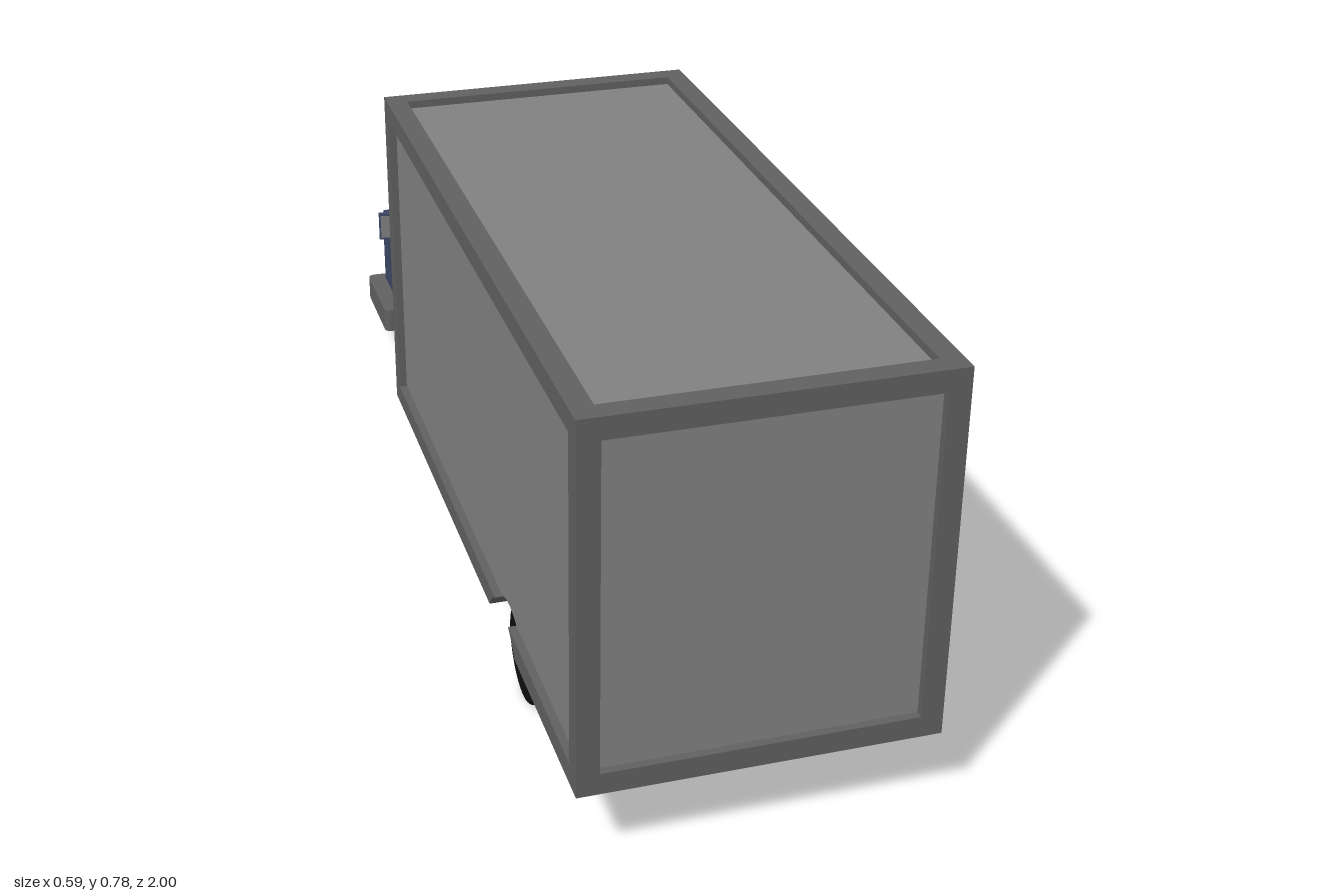
import * as THREE from 'three';

const mat = (color, side = THREE.FrontSide) =>
  new THREE.MeshStandardMaterial({ color, side, flatShading: true });
const M = {
  panel: mat(0x808080), frame: mat(0x606060), cab: mat(0x3d4764), glass: mat(0x7c7c7c),
  grille: mat(0x5c5c5c), lamp: mat(0x59617a), tyre: mat(0x0e0e0e), hub: mat(0x808080),
  liner: mat(0x606060, THREE.DoubleSide),
};
const WHEEL_R = 0.088, AXLE_Y = 0.088, ARCH_R = 0.1;
const REAR_Z = 0.54, FRONT_Z = -0.7;

export function createModel() {
  const root = new THREE.Group();
  root.name = 'boxTruck';

  const add = (name, geo, material, x = 0, y = 0, z = 0, parent = root) => {
    const m = new THREE.Mesh(geo, material);
    m.name = name;
    m.position.set(x, y, z);
    parent.add(m);
    return m;
  };
  const box = (name, material, x0, x1, y0, y1, z0, z1, parent) =>
    add(name, new THREE.BoxGeometry(x1 - x0, y1 - y0, z1 - z0), material,
      (x0 + x1) / 2, (y0 + y1) / 2, (z0 + z1) / 2, parent);
  // Side profile drawn in (z, y), extruded across x and centred
  const across = (shape, width) => {
    const g = new THREE.ExtrudeGeometry(shape, { depth: width, bevelEnabled: false, curveSegments: 20 });
    return g.translate(0, 0, -width / 2).rotateY(-Math.PI / 2);
  };
  const outline = (pts) => new THREE.Shape(pts.map(([z, y]) => new THREE.Vector2(z, y)));
  // Points over a wheel arch, from height y0 on one side to height y1 on the other
  const arch = (cz, r, y0, y1, from = 0, to = 1, n = 18) => {
    const a0 = Math.asin((y0 - AXLE_Y) / r), a1 = Math.PI - Math.asin((y1 - AXLE_Y) / r);
    const out = [];
    for (let i = 0; i <= n; i++) {
      const a = a0 + (a1 - a0) * (from + (to - from) * i / n);
      out.push([cz + r * Math.cos(a), AXLE_Y + r * Math.sin(a)]);
    }
    return out;
  };

  // Cargo box: recessed panels inside a raised frame
  const W = 0.295, Y0 = 0.14, Y1 = 0.778, Z0 = -0.345, Z1 = 1, T = 0.037, R = 0.014;
  add('cargoPanels', across(outline([
    [Z0 + R, Y0 + 0.001], [Z0 + R, Y1 - R], [Z1 - R, Y1 - R], [Z1 - R, Y0 + 0.001],
    ...arch(REAR_Z, ARCH_R + 0.001, Y0 + 0.001, Y0 + 0.001),
  ]), 2 * (W - R)), M.panel);
  const a0 = Math.asin((Y0 - AXLE_Y) / ARCH_R), a1 = Math.asin((Y0 + T - AXLE_Y) / ARCH_R);
  const edge = (sign) => [0, 1, 2, 3, 4].map((i) => {
    const a = a0 + (a1 - a0) * i / 4;
    return [REAR_Z + sign * ARCH_R * Math.cos(a), AXLE_Y + ARCH_R * Math.sin(a)];
  });
  const sideFrame = across(outline([
    ...edge(1).reverse(), [Z1, Y0], [Z1, Y1], [Z0, Y1], [Z0, Y0], ...edge(-1),
    [Z0 + T, Y0 + T], [Z0 + T, Y1 - T], [Z1 - T, Y1 - T], [Z1 - T, Y0 + T],
  ]), T);
  for (const s of [-1, 1]) add('cargoSideFrame', sideFrame, M.frame, s * (W - T / 2));
  for (const y of [Y0, Y1 - T]) for (const z of [Z0, Z1 - T])
    box('cargoCrossbar', M.frame, -W + T, W - T, y, y + T, z, z + T);

  // Cab: core with recessed windscreen and grille, plus side skins with window openings
  const cab = new THREE.Group();
  cab.name = 'cab';
  root.add(cab);
  const C = 0.196, S = 0.02, CI = C - S, B = 0.06;
  const wheelCut = arch(FRONT_Z, ARCH_R - 0.001, B, B, 1, 0);
  add('cabCore', across(outline([
    [-0.35, B], [-0.35, 0.548], [-0.605, 0.548], [-0.618, 0.531], [-0.608, 0.524],
    [-0.728, 0.352], [-0.74, 0.358], [-0.755, 0.341], [-0.775, 0.333], [-0.962, 0.287],
    [-0.975, 0.272], [-0.975, 0.24], [-0.963, 0.24], [-0.963, 0.13], [-0.975, 0.13],
    [-0.975, B], ...wheelCut,
  ]), 2 * CI), M.cab, 0, 0, 0, cab);
  const skin = outline([
    [-0.35, B], [-0.35, 0.548], [-0.605, 0.548], [-0.74, 0.358], [-0.755, 0.341],
    [-0.775, 0.333], [-0.962, 0.287], [-0.975, 0.272], [-0.975, B], ...wheelCut,
  ]);
  const windowPts = [[-0.358, 0.318], [-0.358, 0.54], [-0.596, 0.54], [-0.695, 0.318]];
  skin.holes.push(outline(windowPts));
  const skinGeo = across(skin, S), glassGeo = across(outline(windowPts), 0.008);
  for (const s of [-1, 1]) {
    add('cabSide', skinGeo, M.cab, s * (C - S / 2), 0, 0, cab);
    add('sideWindow', glassGeo, M.glass, s * (CI + 0.005), 0, 0, cab);
  }
  add('windscreen', across(outline([
    [-0.606, 0.524], [-0.611, 0.5255], [-0.732, 0.353], [-0.727, 0.352],
  ]), 2 * CI - 0.001), M.glass, 0, 0, 0, cab);

  // Grille and lamps in the nose recess
  box('grille', M.grille, -0.133, 0.133, 0.13, 0.24, -0.967, -0.962, cab);
  for (const s of [-1, 1]) {
    const lamp = box('headlamp', M.lamp, -0.015, 0.015, 0.136, 0.234, -0.968, -0.962, cab);
    lamp.position.x = s * 0.158;
    const bar = box('grilleBar', M.cab, -0.004, 0.004, 0.13, 0.24, -0.975, -0.962, cab);
    bar.position.x = s * 0.137;
  }

  // Wing mirrors: arm and tapered housing
  const housing = new THREE.CylinderGeometry(0.016, 0.026, 0.022, 4, 1)
    .rotateY(Math.PI / 4).rotateX(-Math.PI / 2).scale(1.1, 1.65, 1);
  for (const s of [-1, 1]) {
    const mirror = new THREE.Group();
    mirror.name = 'wingMirror';
    mirror.position.set(s * 0.229, 0.355, -0.72);
    mirror.rotation.y = s * 0.25;
    cab.add(mirror);
    add('mirrorHousing', housing, M.cab, 0, 0, -0.005, mirror);
    box('mirrorBack', M.cab, -0.02, 0.02, -0.03, 0.03, 0.005, 0.014, mirror);
    box('mirrorGlass', M.glass, -0.016, 0.016, -0.025, 0.025, 0.012, 0.015, mirror);
    box('mirrorArm', M.cab, Math.min(0, -s * 0.045), Math.max(0, -s * 0.045), -0.02, -0.008, -0.006, 0.006, mirror);
  }

  // Bumper and sill blocks, rounded in plan
  const block = (name, z0, z1) => {
    const w = 0.232, r = 0.014, s = new THREE.Shape();
    s.moveTo(-w + r, -z1).lineTo(w - r, -z1).quadraticCurveTo(w, -z1, w, -z1 + r)
      .lineTo(w, -z0 - r).quadraticCurveTo(w, -z0, w - r, -z0)
      .lineTo(-w + r, -z0).quadraticCurveTo(-w, -z0, -w, -z0 - r)
      .lineTo(-w, -z1 + r).quadraticCurveTo(-w, -z1, -w + r, -z1);
    const g = new THREE.ExtrudeGeometry(s, { depth: 0.05, bevelEnabled: false, curveSegments: 4 });
    add(name, g.rotateX(-Math.PI / 2), M.frame, 0, 0.063, 0);
  };
  block('frontBumper', -1, -0.797);
  block('sideSill', -0.608, -0.352);

  // Lining of the front wheel arch
  add('archLiner', new THREE.CylinderGeometry(0.098, 0.098, 2 * C - 0.004, 20, 1, true, 0, Math.PI)
    .rotateZ(Math.PI / 2), M.liner, 0, AXLE_Y, FRONT_Z);

  // Wheels: tyre turned from a profile, with a slightly sunken hub disc
  const tyreGeo = new THREE.LatheGeometry(
    [[0.055, -0.022], [0.056, -0.028], [0.084, -0.028], [WHEEL_R, -0.024], [WHEEL_R, 0.024],
      [0.084, 0.028], [0.056, 0.028], [0.055, 0.022]].map(([x, y]) => new THREE.Vector2(x, y)), 32)
    .rotateZ(Math.PI / 2);
  const hubGeo = new THREE.CylinderGeometry(0.0555, 0.0555, 0.046, 32).rotateZ(Math.PI / 2);
  for (const [name, x, z] of [['rearWheel', 0.232, REAR_Z], ['frontWheel', 0.151, FRONT_Z]])
    for (const s of [-1, 1]) {
      const wheel = new THREE.Group();
      wheel.name = name;
      wheel.position.set(s * x, AXLE_Y, z);
      root.add(wheel);
      add('tyre', tyreGeo, M.tyre, 0, 0, 0, wheel);
      add('hub', hubGeo, M.hub, 0, 0, 0, wheel);
    }
  return root;
}
